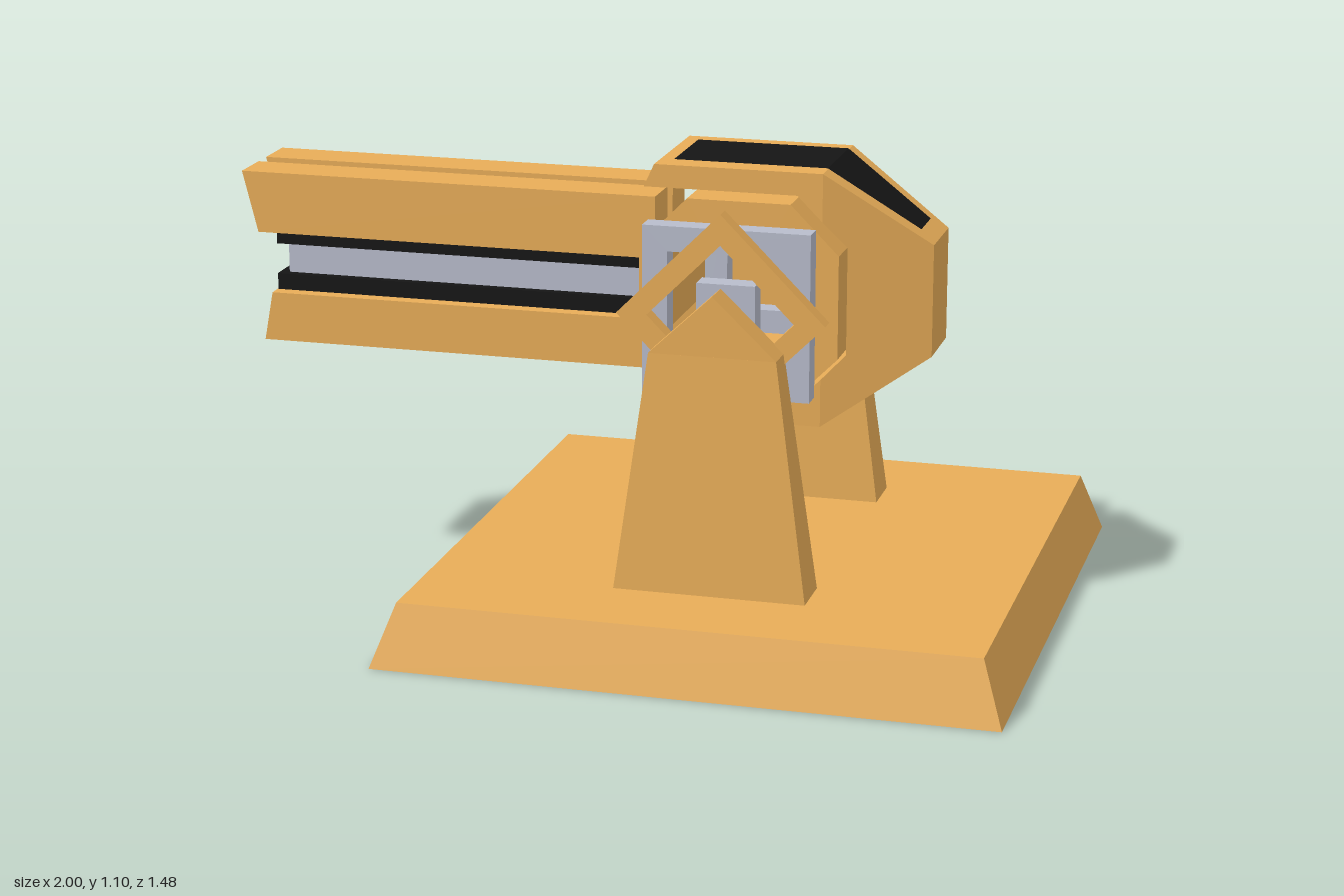
import * as THREE from 'three';

const paint = (color) => new THREE.MeshStandardMaterial({ color, flatShading: true, side: THREE.DoubleSide });
const ORANGE = paint(0xe8ad58), STEEL = paint(0xb8bccb), BLACK = paint(0x151515);
const CX = 0.257, CY = 0.79; // pivot axis of the tilting head

// Outline in x/y extruded symmetrically about z = 0
function prism(points, depth, holes = []) {
  const toVec = (list) => list.map(([x, y]) => new THREE.Vector2(x, y));
  const shape = new THREE.Shape(toVec(points));
  holes.forEach((h) => shape.holes.push(new THREE.Path(toVec(h))));
  return new THREE.ExtrudeGeometry(shape, { depth, bevelEnabled: false }).translate(0, 0, -depth / 2);
}

// Move every vertex by a rule
function reshape(geometry, rule) {
  const p = geometry.attributes.position;
  const v = new THREE.Vector3();
  for (let i = 0; i < p.count; i++) {
    rule(v.fromBufferAttribute(p, i));
    p.setXYZ(i, v.x, v.y, v.z);
  }
  geometry.computeVertexNormals();
  return geometry;
}

const rect = (x0, x1, y0, y1) => [[x0, y0], [x1, y0], [x1, y1], [x0, y1]];
const square = (r) => rect(CX - r, CX + r, CY - r, CY + r);
const diamond = (r) => [[CX + r, CY], [CX, CY + r], [CX - r, CY], [CX, CY - r]];
const octagon = (r, c) => [[r, -c], [r, c], [c, r], [-c, r], [-r, c], [-r, -c], [-c, -r], [c, -r]]
  .map(([x, y]) => [CX + x, CY + y]);
const flipY = (points) => points.map(([x, y]) => [x, 2 * 0.795 - y]).reverse();

export function createModel() {
  const model = new THREE.Group();
  model.name = 'tiltingRailMount';
  const add = (name, geometry, material, z = 0, parent = model) => {
    const mesh = new THREE.Mesh(geometry, material);
    mesh.name = name;
    mesh.position.z = z;
    parent.add(mesh);
    return mesh;
  };

  // Base plate with sloped edges
  add('basePlate', reshape(new THREE.BoxGeometry(1.48, 0.15, 1.48).translate(0.26, 0.075, 0), (v) => {
    if (v.y > 0.1) {
      v.x -= Math.sign(v.x - 0.26) * 0.053;
      v.z -= Math.sign(v.z) * 0.05;
    }
  }), ORANGE);

  // Both sides: leg, diamond bearing, square frame and hub
  for (const s of [1, -1]) {
    const side = new THREE.Group();
    side.name = s > 0 ? 'frontSupport' : 'backSupport';
    model.add(side);
    const leg = prism([[0.028, 0.15], [0.487, 0.15], [0.408, 0.72], [0.106, 0.72]], 0.126);
    reshape(leg, (v) => { if (v.y > 0.5) v.z *= 0.62; });
    add('supportLeg', leg, ORANGE, s * 0.397, side);
    add('supportPeak', prism([[0.106, 0.72], [0.408, 0.72], [CX, 0.863]], 0.078), ORANGE, s * 0.397, side);
    add('diamondBearing', prism(diamond(0.248), 0.044, [diamond(0.175)]), ORANGE, s * 0.342, side);
    add('squareFrame', prism(square(0.2), 0.054, [square(0.14)]), STEEL, s * 0.284, side);
    add('hub', prism(square(0.07), 0.054), STEEL, s * 0.284, side);
  }

  // Octagonal ring in the middle of the head
  add('octagonRing', prism(octagon(0.24, 0.124), 0.386, [octagon(0.18, 0.09)]), ORANGE);

  // Housing wrapped round the ring: two arms and a tapered rear wall
  const arm = [[0.02, 1.045], [0.39, 1.045], [0.45, 0.985], [0.45, 1.1], [0.045, 1.1]];
  add('upperArm', prism(arm, 0.324), ORANGE);
  add('lowerArm', prism(flipY(arm), 0.324), ORANGE);
  const rear = prism([[0.45, 1.1], [0.45, 0.985], [0.507, 0.925], [0.507, 0.665],
    [0.45, 0.605], [0.45, 0.49], [0.7, 0.66], [0.7, 0.93]], 0.324);
  add('rearHousing', reshape(rear, (v) => { v.z *= 1 - 0.45 * (v.x - 0.45) / 0.25; }), ORANGE);

  // Dark panel folded over the top and the rear slope
  const panel = new THREE.BufferGeometry();
  const rows = [[0.08, 1.103, 0.112], [0.45, 1.103, 0.112], [0.663, 0.958, 0.056]];
  panel.setAttribute('position', new THREE.Float32BufferAttribute(
    rows.flatMap(([x, y, z]) => [x, y, z, x, y, -z]), 3));
  panel.setIndex([0, 2, 1, 1, 2, 3, 2, 4, 3, 3, 4, 5]);
  panel.computeVertexNormals();
  add('topPanel', panel, BLACK);

  // Long rails reaching out to the right
  const end = 0.04;
  const upper = [[-0.962, 0.865], [end, 0.865], [end, 1.015], [-1, 1.015]];
  for (const s of [1, -1]) {
    add('upperRail', prism(upper, 0.11), ORANGE, s * 0.08);
    add('upperStrip', prism(rect(-0.928, end, 0.83, 0.865), 0.075), BLACK, s * 0.0625);
  }
  add('lowerRail', prism([[-0.952, 0.595], [end, 0.595], [end, 0.715], [-0.93, 0.715]], 0.27), ORANGE);
  add('lowerStrip', prism(rect(-0.928, end, 0.715, 0.755), 0.2), BLACK);
  add('centreRail', prism(rect(-0.905, end, 0.755, 0.83), 0.16), STEEL);

  return model;
}
